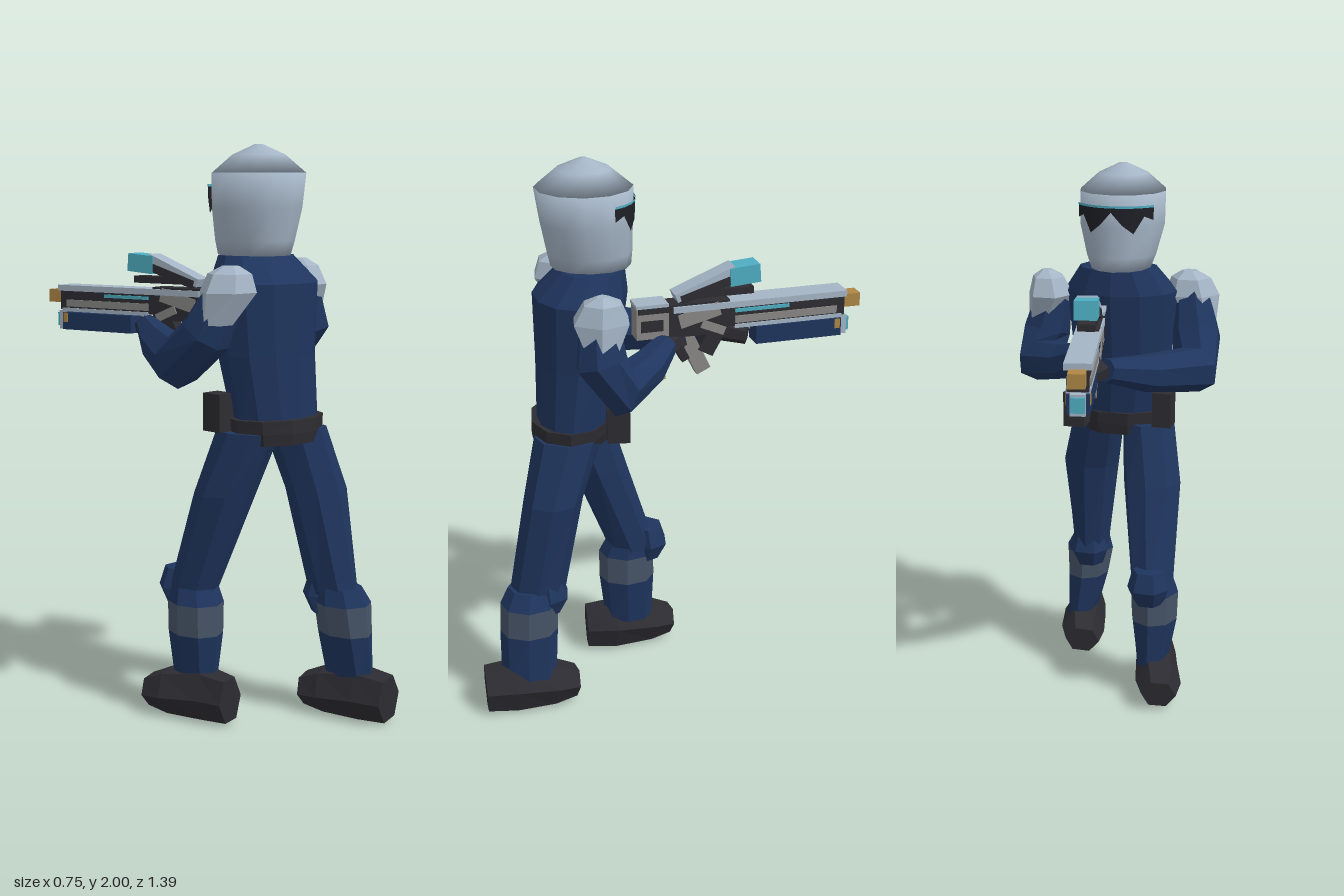
import * as THREE from 'three';

const mat = (name, color) => {
  const m = new THREE.MeshStandardMaterial({ color });
  m.name = name;
  return m;
};

// Skin through rings [x, y, z, rx, rz]; "along" tilts each ring to face along the path.
function loft(rings, sides, { along = false, smooth = false } = {}) {
  const centres = rings.map(r => new THREE.Vector3(r[0], r[1], r[2]));
  const pos = [], idx = [], last = rings.length - 1;
  const q = new THREE.Quaternion();
  let heading = new THREE.Vector3(0, 1, 0);
  rings.forEach(([, , , rx, rz = rx], k) => {
    if (along) {
      const t = centres[Math.min(k + 1, last)].clone().sub(centres[Math.max(k - 1, 0)]).normalize();
      q.premultiply(new THREE.Quaternion().setFromUnitVectors(heading, t));
      heading = t;
    }
    for (let i = 0; i < sides; i++) {
      const a = (i / sides) * Math.PI * 2;
      const p = new THREE.Vector3(Math.cos(a) * rx, 0, Math.sin(a) * rz);
      pos.push(...p.applyQuaternion(q).add(centres[k]).toArray());
    }
  });
  const base = pos.length / 3, top = base + 1;
  pos.push(...centres[0].toArray(), ...centres[last].toArray());
  for (let i = 0; i < sides; i++) {
    const j = (i + 1) % sides, l = last * sides;
    for (let k = 0; k < last; k++) {
      const o = k * sides, u = o + sides;
      idx.push(o + i, u + i, o + j, o + j, u + i, u + j);
    }
    idx.push(base, i, j, top, l + j, l + i);
  }
  let g = new THREE.BufferGeometry();
  g.setAttribute('position', new THREE.Float32BufferAttribute(pos, 3));
  g.setIndex(idx);
  if (!smooth) g = g.toNonIndexed();
  g.computeVertexNormals();
  return g;
}

// Curved strip wrapped round the face; rows are [angle in degrees, low y, high y].
function faceStrip(rows, r) {
  const pos = [], idx = [];
  rows.forEach(([deg, lo, hi], i) => {
    const a = deg * Math.PI / 180, x = Math.sin(a) * r, z = 0.277 - Math.cos(a) * r;
    pos.push(x, lo, z, x, hi, z);
    if (i) idx.push(2 * i - 2, 2 * i - 1, 2 * i, 2 * i, 2 * i - 1, 2 * i + 1);
  });
  const g = new THREE.BufferGeometry();
  g.setAttribute('position', new THREE.Float32BufferAttribute(pos, 3));
  g.setIndex(idx);
  g.computeVertexNormals();
  return g;
}

export function createModel() {
  const navy = mat('navy cloth', 0x1f355e);
  const pale = mat('pale armour', 0xa4b4c5);
  const dark = mat('dark leather', 0x2d2c32);
  const teal = mat('teal glass', 0x4eaec2);
  const gold = mat('gold metal', 0xae8745);
  const grey = mat('grey metal', 0x888784);
  const slate = mat('slate guard', 0x465467);
  const lens = mat('lens', 0x1e2026);
  lens.side = teal.side = THREE.DoubleSide;

  const model = new THREE.Group();
  const add = (name, geo, m, parent = model) => {
    const mesh = new THREE.Mesh(geo, m);
    mesh.name = name;
    parent.add(mesh);
    return mesh;
  };
  const box = (name, m, [w, h, d], [x, y, z], parent = model, tilt = 0) => {
    const b = add(name, new THREE.BoxGeometry(w, h, d), m, parent);
    b.position.set(x, y, z);
    b.rotation.x = tilt;
    return b;
  };

  // Helmet with a creased crown, and glasses
  const brow = [0, 1.905, 0.284, 0.158, 0.168];
  add('helmet', loft([[0, 1.63, 0.265, 0.108, 0.138], [0, 1.68, 0.268, 0.128, 0.146],
    [0, 1.79, 0.277, 0.157, 0.158], brow], 12, { smooth: true }), pale);
  add('crown', loft([brow, [0, 1.965, 0.284, 0.09, 0.095], [0, 2, 0.284, 0.015, 0.015]], 12, { smooth: true }), pale);
  const low = { 0: 1.845, 14: 1.8, 28: 1.77, 42: 1.83, 56: 1.815 };
  const angles = [-56, -42, -28, -14, 0, 14, 28, 42, 56];
  add('glasses', faceStrip(angles.map(a => [a, low[Math.abs(a)], 1.86]), 0.166), lens);
  add('glassesRim', faceStrip(angles.map(a => [a, 1.86, 1.868]), 0.168), teal);

  // Torso, belt and pouches
  add('torso', loft([
    [0.03, 1.06, 0.345, 0.17, 0.125], [0.01, 1.3, 0.32, 0.19, 0.147],
    [0.01, 1.54, 0.305, 0.21, 0.165], [0.01, 1.63, 0.265, 0.145, 0.115],
  ], 12), navy);
  add('belt', loft([[0.015, 1, 0.352, 0.168, 0.136], [0.02, 1.04, 0.352, 0.185, 0.143],
    [0.02, 1.085, 0.35, 0.19, 0.145]], 10), dark);
  box('leftPouch', dark, [0.08, 0.13, 0.08], [0.15, 1.105, 0.185]);
  box('rightPouch', dark, [0.07, 0.13, 0.08], [-0.165, 1.105, 0.26]);

  // Legs: thigh, knee pad, banded shin and boot
  const legs = [
    { side: 'rear',
      thigh: [[0.18, 0.45, 0.49, 0.07, 0.1], [0.16, 0.82, 0.42, 0.11, 0.105], [0.11, 1.04, 0.36, 0.1, 0.12]],
      knee: [0.18, 0.44, 0.44],
      shin: [[0.23, 0.13, 0.53, 0.058, 0.1], [0.205, 0.31, 0.525, 0.083, 0.105],
        [0.195, 0.42, 0.52, 0.095, 0.105], [0.185, 0.48, 0.51, 0.072, 0.085]],
      boot: [[0.25, 0.09, 0.69, 0.07, 0.09], [0.235, 0.092, 0.58, 0.085, 0.1],
        [0.205, 0.08, 0.44, 0.087, 0.085], [0.185, 0.068, 0.36, 0.068, 0.058]] },
    { side: 'front',
      thigh: [[-0.16, 0.45, 0.13, 0.08, 0.09], [-0.125, 0.82, 0.255, 0.11, 0.105], [-0.09, 1.04, 0.33, 0.1, 0.12]],
      knee: [-0.16, 0.46, 0.058],
      shin: [[-0.16, 0.13, 0.145, 0.06, 0.09], [-0.165, 0.31, 0.15, 0.088, 0.105],
        [-0.165, 0.42, 0.15, 0.092, 0.105], [-0.16, 0.48, 0.14, 0.078, 0.085]],
      boot: [[-0.155, 0.09, 0.31, 0.06, 0.09], [-0.165, 0.092, 0.2, 0.08, 0.1],
        [-0.205, 0.08, 0.06, 0.087, 0.085], [-0.225, 0.068, -0.02, 0.066, 0.058]] },
  ];
  for (const { side, thigh, knee, shin, boot } of legs) {
    const leg = new THREE.Group();
    leg.name = side + 'Leg';
    model.add(leg);
    add('thigh', loft(thigh, 8), navy, leg);
    add('lowerShin', loft(shin.slice(0, 2), 8), navy, leg);
    add('shinGuard', loft(shin.slice(1, 3), 8), slate, leg);
    add('upperShin', loft(shin.slice(2), 8), navy, leg);
    add('boot', loft(boot, 6, { along: true }), dark, leg);
    const [x, y, z] = knee;
    add('kneePad', loft([[x, y - 0.065, z + 0.02, 0.055, 0.055], [x, y, z, 0.078, 0.068],
      [x, y + 0.07, z + 0.01, 0.06, 0.055]], 6), navy, leg);
  }

  // Arms, gloves and shoulder pads
  add('leftArm', loft([[0.25, 1.54, 0.25, 0.065], [0.285, 1.38, 0.245, 0.09], [0.285, 1.28, 0.18, 0.09],
    [0.16, 1.31, 0.08, 0.066], [0.07, 1.36, 0.01, 0.042]], 7, { along: true }), navy);
  add('rightArm', loft([[-0.24, 1.54, 0.375, 0.065], [-0.275, 1.38, 0.31, 0.09], [-0.295, 1.28, 0.2, 0.09],
    [-0.17, 1.315, -0.03, 0.068], [-0.07, 1.36, -0.2, 0.042]], 7, { along: true }), navy);
  box('cuffClasp', gold, [0.07, 0.04, 0.06], [0.1, 1.275, 0.05]);
  add('leftGlove', loft([[0.08, 1.35, 0.02, 0.042], [0.03, 1.36, -0.04, 0.035]], 6, { along: true }), dark);
  add('rightGlove', loft([[-0.05, 1.36, -0.2, 0.04], [-0.02, 1.35, -0.28, 0.034]], 6, { along: true }), dark);
  add('leftShoulderPad', loft([[0.295, 1.425, 0.24, 0.055, 0.06], [0.262, 1.52, 0.24, 0.085, 0.105],
    [0.27, 1.585, 0.235, 0.06, 0.07], [0.275, 1.61, 0.235, 0.02]], 6), pale);
  add('rightShoulderPad', loft([[-0.28, 1.415, 0.36, 0.055, 0.06], [-0.242, 1.52, 0.38, 0.1, 0.095],
    [-0.235, 1.58, 0.38, 0.075, 0.075], [-0.23, 1.605, 0.38, 0.03]], 6), pale);

  // Rifle, built along its own -z and then turned
  const rifle = new THREE.Group();
  rifle.name = 'rifle';
  rifle.position.x = 0.035;
  rifle.rotation.y = 0.21;
  model.add(rifle);
  const part = (name, m, size, at, tilt) => box(name, m, size, at, rifle, tilt);
  part('stock', grey, [0.07, 0.115, 0.13], [0, 1.44, 0.06]);
  part('stockTop', pale, [0.085, 0.012, 0.115], [0, 1.503, 0.07]);
  part('receiver', dark, [0.075, 0.12, 0.22], [0, 1.44, -0.1]);
  part('barrelShroud', dark, [0.07, 0.07, 0.44], [0, 1.435, -0.42]);
  part('topCover', pale, [0.09, 0.022, 0.64], [0, 1.482, -0.325]);
  part('lowerRail', pale, [0.078, 0.014, 0.4], [0, 1.4, -0.43]);
  part('foreGrip', navy, [0.075, 0.065, 0.32], [0, 1.357, -0.47]);
  part('foreGripTip', pale, [0.05, 0.07, 0.03], [0, 1.36, -0.64]);
  part('foreGripLight', teal, [0.046, 0.05, 0.012], [0, 1.362, -0.658]);
  part('foreGripRing', gold, [0.079, 0.035, 0.02], [0, 1.37, -0.615]);
  part('muzzle', gold, [0.056, 0.048, 0.08], [0, 1.45, -0.662]);
  part('grip', grey, [0.045, 0.17, 0.055], [0, 1.315, -0.085], 0.45);
  part('gripBack', dark, [0.048, 0.12, 0.03], [0, 1.34, -0.03], 0.45);
  part('magazine', dark, [0.05, 0.1, 0.06], [0, 1.35, -0.15], -0.5);
  // Raised sight with its glowing block
  part('sightBase', dark, [0.06, 0.025, 0.26], [0, 1.525, -0.17]);
  part('sightArm', pale, [0.07, 0.03, 0.23], [0, 1.562, -0.125], 0.38);
  part('sightArmUnderside', dark, [0.072, 0.03, 0.2], [0, 1.543, -0.13], 0.3);
  part('sight', teal, [0.078, 0.065, 0.11], [0, 1.583, -0.265], 0.08);
  // Side plates and strips
  for (const s of [-1, 1]) {
    part('stockPatch', dark, [0.006, 0.04, 0.08], [s * 0.036, 1.43, 0.07]);
    part('stockStripe', dark, [0.006, 0.02, 0.12], [s * 0.036, 1.485, 0.06]);
    part('receiverPlate', grey, [0.006, 0.05, 0.15], [s * 0.039, 1.455, -0.1], 0.25);
    part('receiverLowerPlate', grey, [0.006, 0.03, 0.09], [s * 0.039, 1.405, -0.15], -0.4);
    part('barrelPlate', grey, [0.006, 0.026, 0.38], [s * 0.037, 1.425, -0.42]);
    part('glowStrip', teal, [0.006, 0.012, 0.2], [s * 0.038, 1.458, -0.33]);
  }
  return model;
}
